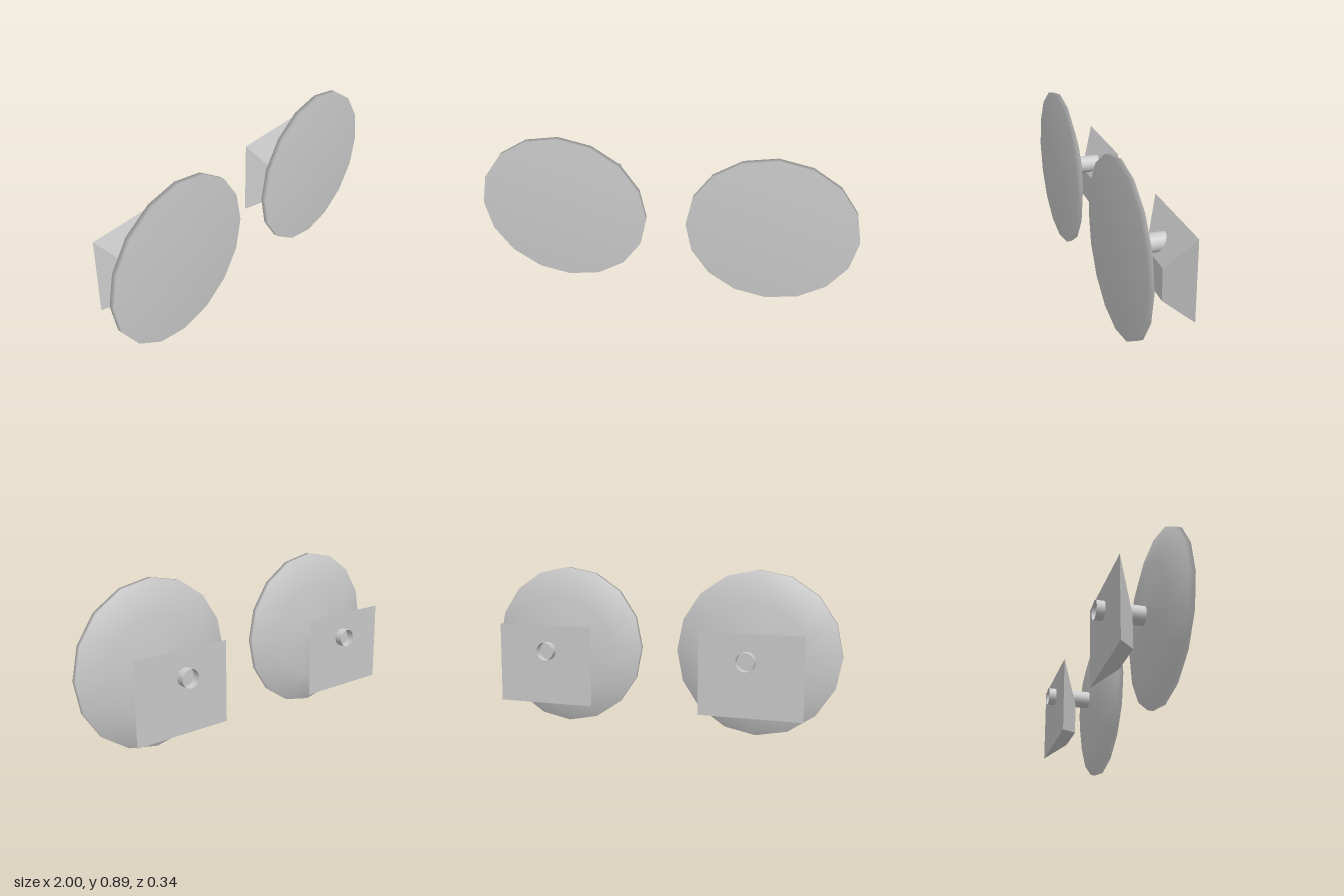
import * as THREE from 'three';

const material = new THREE.MeshStandardMaterial({ color: 0xcccccc, side: THREE.DoubleSide });
const flatMaterial = new THREE.MeshStandardMaterial({ color: 0xcccccc, side: THREE.DoubleSide, flatShading: true });

// Tapered bracket: a box whose front face is pulled in to a smaller rectangle
function bracketGeometry() {
  const geometry = new THREE.BoxGeometry(2, 2, 2);
  const p = geometry.attributes.position;
  for (let i = 0; i < p.count; i++) {
    const front = p.getZ(i) > 0;
    const top = p.getY(i) > 0;
    const x = p.getX(i) * (front ? 0.112 : 0.272);
    const y = front ? (top ? 0.375 : 0.2) : (top ? 0.587 : 0.155);
    p.setXYZ(i, x, y, front ? -0.02 : -0.125);
  }
  geometry.computeVertexNormals();
  return geometry;
}

// One buffer: 16-sided head, hollow shaft and bracket
function createBuffer(side) {
  const buffer = new THREE.Group();
  buffer.name = side > 0 ? 'leftBuffer' : 'rightBuffer';

  // Head: shallow cone back, thin rim and flat front, turned about the z axis
  const profile = [[0, 0.076], [0.275, 0.092], [0.447, 0.142], [0.447, 0.17], [0, 0.17]]
    .map(([r, z]) => new THREE.Vector2(r, z));
  const head = new THREE.Mesh(new THREE.LatheGeometry(profile, 16).rotateX(Math.PI / 2), material);
  head.name = 'bufferHead';
  head.position.set(side * 0.553, 0.448, 0);

  // Shaft: open tube running through the bracket
  const shaft = new THREE.Mesh(
    new THREE.CylinderGeometry(0.049, 0.049, 0.245, 16, 1, true).rotateX(Math.PI / 2), material);
  shaft.name = 'shaft';
  shaft.position.set(side * 0.553, 0.449, -0.0455);

  const bracket = new THREE.Mesh(bracketGeometry(), flatMaterial);
  bracket.name = 'bracket';
  bracket.position.x = side * 0.572;

  buffer.add(head, shaft, bracket);
  return buffer;
}

export function createModel() {
  const model = new THREE.Group();
  model.name = 'bufferPair';
  for (const side of [-1, 1]) model.add(createBuffer(side));
  return model;
}
